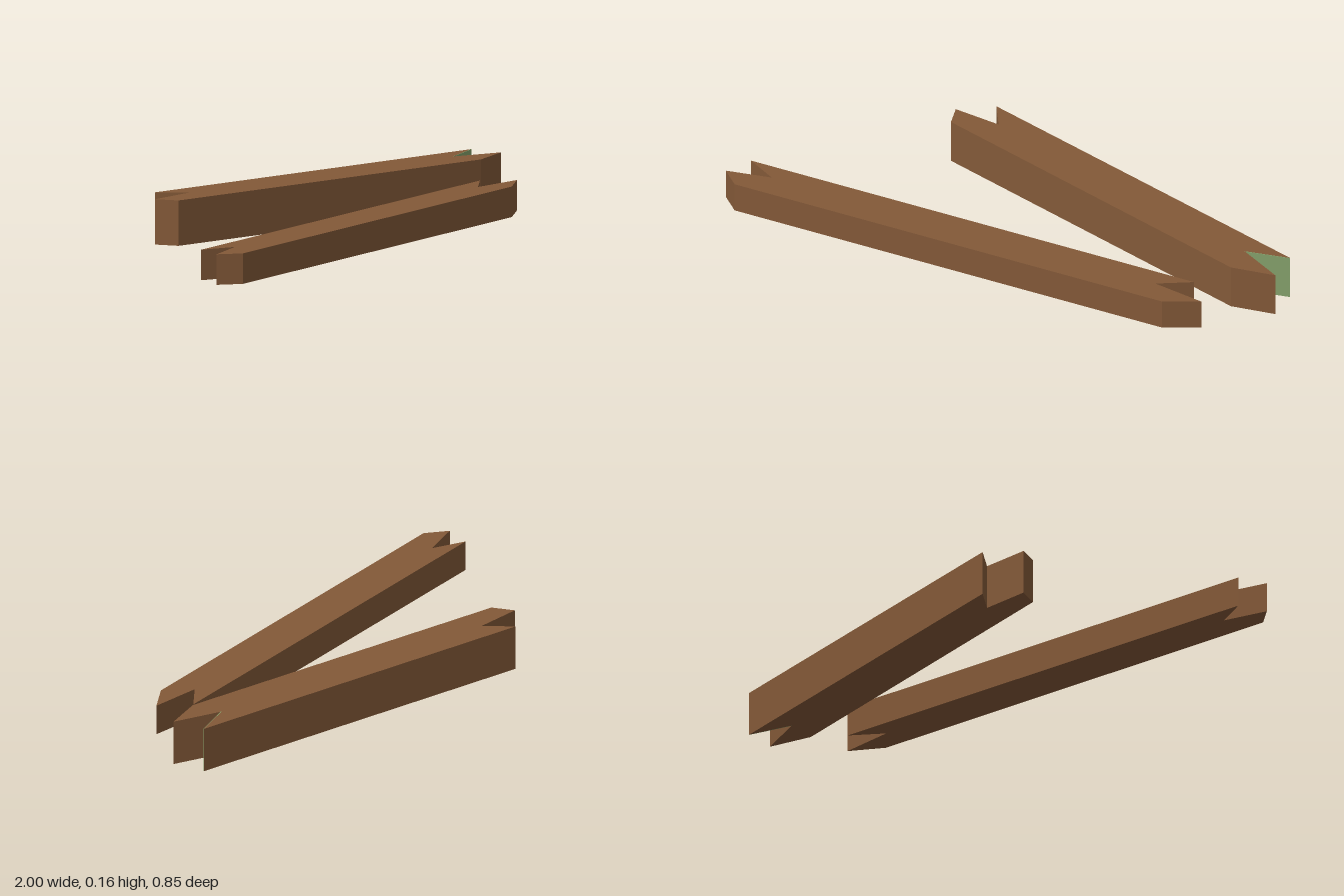
import * as THREE from 'three';

// Extrudes a ground-plan outline of [x, z] corners upward from y = 0.
function makePlank(name, outline, height, material) {
  const shape = new THREE.Shape(outline.map(([x, z]) => new THREE.Vector2(x, -z)));
  const geometry = new THREE.ExtrudeGeometry(shape, { depth: height, bevelEnabled: false });
  geometry.rotateX(-Math.PI / 2);
  const mesh = new THREE.Mesh(geometry, material);
  mesh.name = name;
  return mesh;
}

// Thin painted plate on the wall running from a to b.
function makeWallPlate(name, a, b, height, material) {
  const dx = b[0] - a[0], dz = b[1] - a[1];
  const geometry = new THREE.BoxGeometry(Math.hypot(dx, dz), height, 0.002);
  geometry.translate(0, height / 2, 0.001);
  const mesh = new THREE.Mesh(geometry, material);
  mesh.position.set((a[0] + b[0]) / 2, 0, (a[1] + b[1]) / 2);
  mesh.rotation.y = Math.atan2(-dz, dx);
  mesh.name = name;
  return mesh;
}

export function createModel() {
  const wood = new THREE.MeshStandardMaterial({ color: 0x835938 });
  wood.name = 'brown wood';
  const moss = new THREE.MeshStandardMaterial({ color: 0x86a26c });
  moss.name = 'moss green';

  const model = new THREE.Group();
  model.name = 'brokenPlanks';

  // Thick rear plank with a splintered notch at each end
  const notch = [0.823, -0.127], tip = [0.979, -0.178];
  const rear = [
    [-0.405, -0.425], [-0.334, -0.332], [-0.512, -0.332], [-0.48, -0.254],
    [0.842, -0.014], [0.998, -0.057], notch, tip,
  ];
  model.add(makePlank('rearPlank', rear, 0.159, wood));
  model.add(makeWallPlate('rearPlankMossyFace', notch, tip, 0.159, moss));

  // Thin front plank, also notched at both ends
  const front = [
    [-0.963, 0.267], [-0.843, 0.318], [-1, 0.369], [-0.926, 0.425],
    [0.72, 0.232], [0.834, 0.157], [0.637, 0.149], [0.743, 0.067],
  ];
  model.add(makePlank('frontPlank', front, 0.107, wood));

  return model;
}
